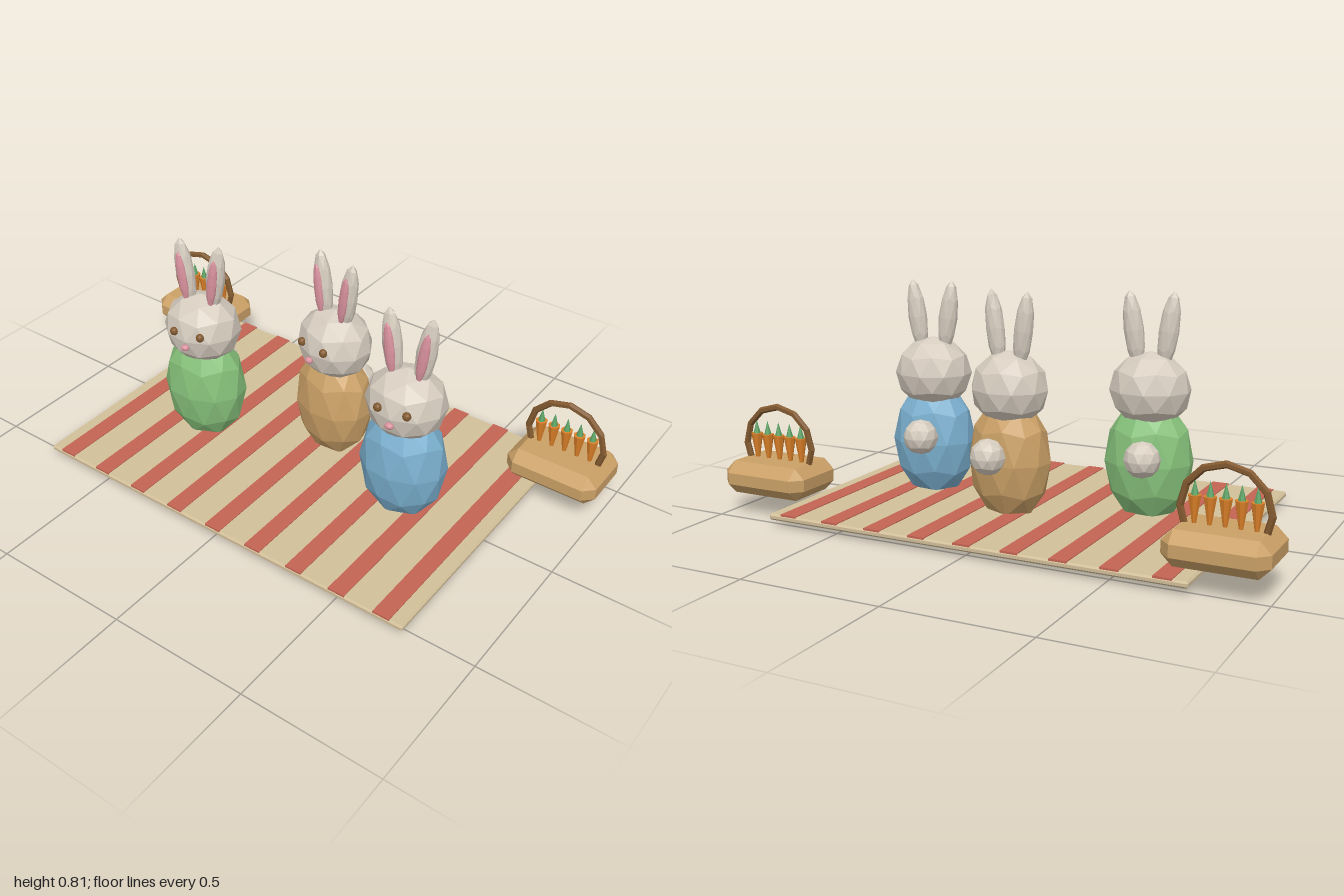
import * as THREE from 'three';
import { ConvexGeometry } from 'three/addons/geometries/ConvexGeometry.js';

const mat = (name, color) => {
  const m = new THREE.MeshStandardMaterial({ color, flatShading: true });
  m.name = name;
  return m;
};

const MATS = {
  fur: mat('warm grey fur', 0xd6ccbf),
  green: mat('green outfit', 0x86c17a),
  tan: mat('tan wicker', 0xcaa066),
  blue: mat('blue outfit', 0x7aafce),
  cream: mat('cream cloth', 0xd2bf99),
  red: mat('red cloth', 0xc46453),
  pink: mat('pink', 0xd9929e),
  brown: mat('dark brown', 0x82592f),
  orange: mat('carrot orange', 0xdd8128),
  leaf: mat('leaf green', 0x5ea568),
};

function add(parent, name, geometry, material, x = 0, y = 0, z = 0) {
  const mesh = new THREE.Mesh(geometry, material);
  mesh.name = name;
  mesh.position.set(x, y, z);
  parent.add(mesh);
  return mesh;
}

// Faceted ball with a corner at each pole, stretched to the given radii
function ball(rx, ry, rz) {
  return new THREE.IcosahedronGeometry(1, 1)
    .rotateX(-Math.atan((1 + Math.sqrt(5)) / 2))
    .rotateY(Math.PI / 2)
    .scale(rx, ry, rz);
}

// Box with every edge cut off at an angle
function chamferBox(w, h, d, c) {
  const points = [];
  for (const sx of [-1, 1]) for (const sy of [-1, 1]) for (const sz of [-1, 1]) {
    for (let axis = 0; axis < 3; axis++) {
      const inset = [c, c, c];
      inset[axis] = 0;
      points.push(new THREE.Vector3(
        sx * (w / 2 - inset[0]), sy * (h / 2 - inset[1]), sz * (d / 2 - inset[2])));
    }
  }
  return new ConvexGeometry(points);
}

function makeBlanket() {
  const blanket = new THREE.Group();
  blanket.name = 'blanket';
  add(blanket, 'cloth', chamferBox(1.52, 0.022, 1.07, 0.006), MATS.cream, 0, 0.033, 0);
  for (let i = -4; i <= 4; i++) {
    add(blanket, 'stripe', new THREE.BoxGeometry(0.062, 0.008, 1.066), MATS.red, i * 0.17, 0.043, 0);
  }
  return blanket;
}

function makeRabbit(outfit) {
  const rabbit = new THREE.Group();
  rabbit.name = 'rabbit';
  add(rabbit, 'body', ball(0.156, 0.223, 0.121), outfit, 0, 0.223, 0);
  add(rabbit, 'head', ball(0.142, 0.132, 0.124), MATS.fur, 0, 0.472, 0);
  add(rabbit, 'tail', ball(0.064, 0.064, 0.062), MATS.fur, 0, 0.255, -0.122);
  add(rabbit, 'nose', ball(0.016, 0.012, 0.013), MATS.pink, 0, 0.452, 0.127);

  for (const side of [-1, 1]) {
    add(rabbit, 'eye', ball(0.015, 0.016, 0.014), MATS.brown, side * 0.052, 0.497, 0.11);

    // Upright ear leaning outwards, with a pink lining at the front
    const ear = new THREE.Group();
    ear.name = 'ear';
    ear.position.set(side * 0.06, 0.675, 0);
    ear.rotation.z = -side * 0.13;
    add(ear, 'outerEar', ball(0.035, 0.135, 0.029), MATS.fur);
    add(ear, 'innerEar', ball(0.019, 0.098, 0.013), MATS.pink, 0, -0.006, 0.024);
    rabbit.add(ear);
  }
  return rabbit;
}

function makeBasket() {
  const basket = new THREE.Group();
  basket.name = 'basket';
  add(basket, 'tray', chamferBox(0.336, 0.115, 0.246, 0.037), MATS.tan, 0, 0.134, 0);
  // Hoop handle, its lower part hidden in the tray
  const hoop = new THREE.TorusGeometry(0.141, 0.012, 6, 12);
  add(basket, 'handle', hoop, MATS.brown, 0, 0.24, 0);

  for (let i = -2; i <= 2; i++) {
    const x = i * 0.048;
    const root = new THREE.ConeGeometry(0.021, 0.13, 8).rotateX(Math.PI);
    add(basket, 'carrot', root, MATS.orange, x, 0.213, 0);
    add(basket, 'carrotTop', new THREE.ConeGeometry(0.013, 0.05, 6), MATS.leaf, x, 0.301, 0);
  }
  return basket;
}

export function createModel() {
  const model = new THREE.Group();
  model.name = 'rabbitPicnic';
  model.add(makeBlanket());

  // Outfit, position and turn of each rabbit
  const rabbits = [
    [MATS.green, -0.393, 0.085, 0.18],
    [MATS.tan, 0.045, -0.11, -0.17],
    [MATS.blue, 0.436, 0.038, 0.12],
  ];
  for (const [outfit, x, z, turn] of rabbits) {
    const rabbit = makeRabbit(outfit);
    rabbit.position.set(x, 0, z);
    rabbit.rotation.y = turn;
    model.add(rabbit);
  }

  for (const [x, z] of [[-0.832, -0.424], [0.832, -0.372]]) {
    const basket = makeBasket();
    basket.position.set(x, 0, z);
    model.add(basket);
  }
  return model;
}
